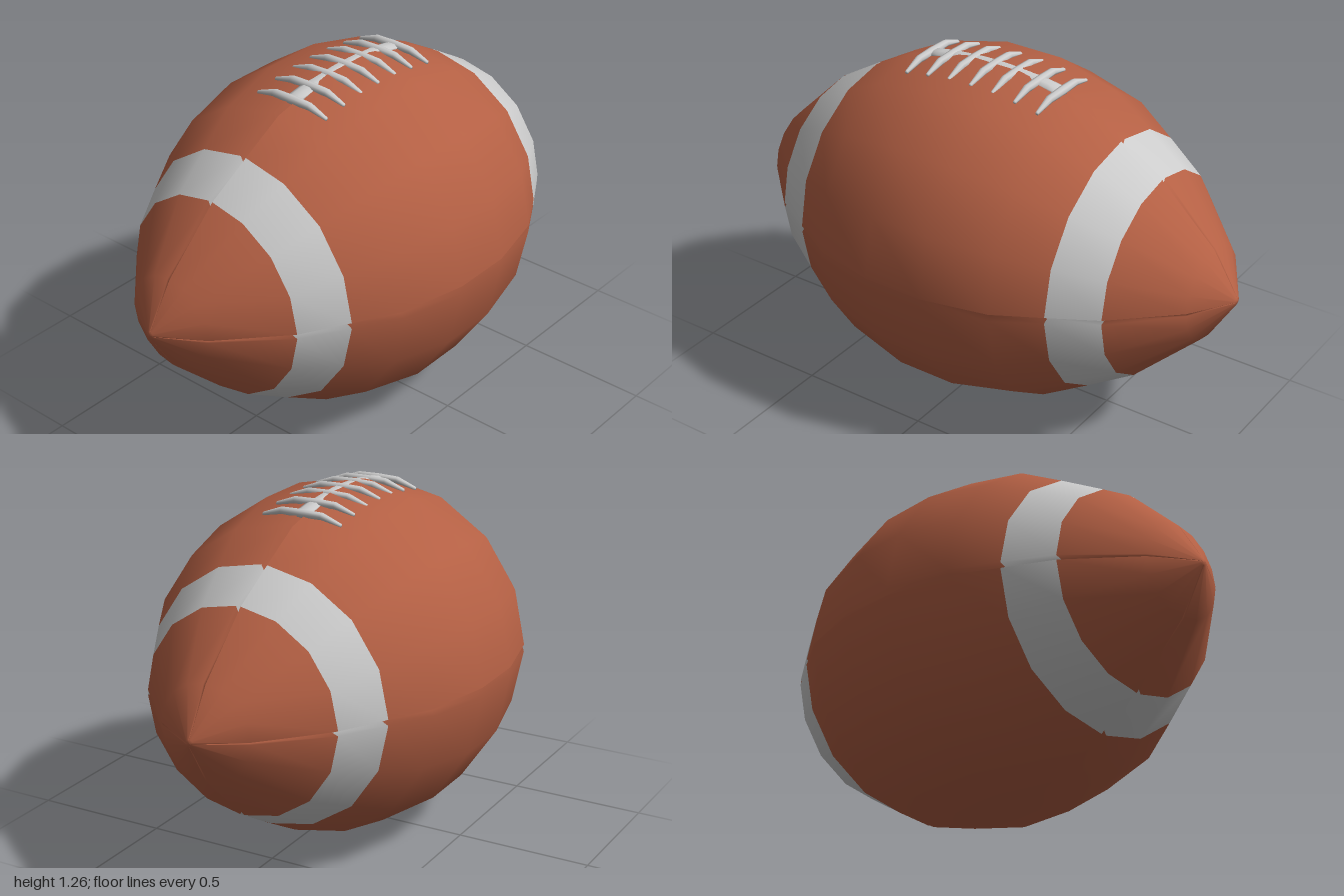
import * as THREE from 'three';

const CENTRE_Y = 0.625;
// z station and radius, tip to middle; the stripe lies between 0.69 and 0.525
const HALF = [[1, 0], [0.998, 0.014], [0.9, 0.175], [0.69, 0.378], [0.525, 0.476], [0.36, 0.57], [0.115, 0.627]];
const PROFILE = [...HALF, ...HALF.map(([z, r]) => [-z, r]).reverse()];

const leather = new THREE.MeshStandardMaterial({ color: 0xb46044 });
const grey = new THREE.MeshStandardMaterial({ color: 0xcccccc });

// Index joining closed rings from first to last (rings run backwards along their axis)
function skinIndex(first, last, n) {
  const index = [];
  for (let i = first; i < last; i++) {
    for (let j = 0; j < n; j++) {
      const a = i * n + j, b = i * n + (j + 1) % n;
      index.push(a, a + n, b, b, a + n, b + n);
    }
  }
  return index;
}

function loft(rings) {
  const g = new THREE.BufferGeometry();
  g.setAttribute('position', new THREE.Float32BufferAttribute(rings.flat(2), 3));
  g.setIndex(skinIndex(0, rings.length - 1, rings[0].length));
  g.computeVertexNormals();
  return g;
}

// One cross-section: four panels of four facets with a notch at each seam
function bodyRing([z, r]) {
  const ring = [];
  const depth = Math.min(0.022, r * 0.06);
  const edge = Math.min(0.024, 0.015 / Math.max(r, 0.1));
  for (let q = 0; q < 4; q++) {
    const start = q * Math.PI / 2;
    const add = (a, rad) => ring.push([Math.cos(start + a) * rad, CENTRE_Y + Math.sin(start + a) * rad, z]);
    add(0, r - depth);
    add(edge, r);
    for (let k = 1; k < 4; k++) add(k * Math.PI / 8, r);
    add(Math.PI / 2 - edge, r);
  }
  return ring;
}

const laceHeight = (z) => 1.245 - 0.36 * z * z;

// Tapered lace across the seam, drooping at both ends
function crossLace(z0) {
  const stations = [[0.157, 0], [0.155, 0.4], [0.08, 0.85], [0, 1], [-0.08, 0.85], [-0.155, 0.4], [-0.157, 0]];
  return loft(stations.map(([x, s]) => {
    const y0 = laceHeight(z0) - (Math.abs(x) > 0.1 ? 0.022 : 0);
    return Array.from({ length: 8 }, (_, k) => {
      const a = k * Math.PI / 4;
      return [x, y0 + Math.cos(a) * 0.016 * s, z0 + Math.sin(a) * 0.018 * s];
    });
  }));
}

// Flat strip running along the seam beneath the laces
function laceStrip() {
  const rings = [];
  const N = 12;
  for (let i = 0; i <= N; i++) {
    const z = 0.275 - 0.55 * i / N;
    const y = laceHeight(z);
    const ring = Array.from({ length: 8 }, (_, k) => {
      const a = (k + 0.5) * Math.PI / 4;
      return [Math.cos(a) * 0.032, y - 0.005 + Math.sin(a) * 0.014, z];
    });
    const cap = ring.map(() => [0, y - 0.005, z]);
    if (i === 0) rings.push(cap);
    rings.push(ring);
    if (i === N) rings.push(cap);
  }
  return loft(rings);
}

export function createModel() {
  const model = new THREE.Group();
  model.name = 'football';
  const add = (name, geometry, material, parent = model) => {
    const mesh = new THREE.Mesh(geometry, material);
    mesh.name = name;
    parent.add(mesh);
  };

  // Body: bands share the same vertices and normals so shading runs through the stripes
  const rings = PROFILE.map(bodyRing);
  const body = loft(rings);
  const bands = [
    ['frontTip', 0, 3, leather], ['frontStripe', 3, 4, grey], ['middle', 4, 9, leather],
    ['backStripe', 9, 10, grey], ['backTip', 10, 13, leather],
  ];
  for (const [name, first, last, material] of bands) {
    const band = body.clone();
    band.setIndex(skinIndex(first, last, rings[0].length));
    add(name, band, material);
  }

  // Laces
  const laces = new THREE.Group();
  laces.name = 'laces';
  model.add(laces);
  add('laceStrip', laceStrip(), grey, laces);
  for (let i = -3; i <= 3; i++) add('crossLace', crossLace(i * 0.092), grey, laces);

  return model;
}
